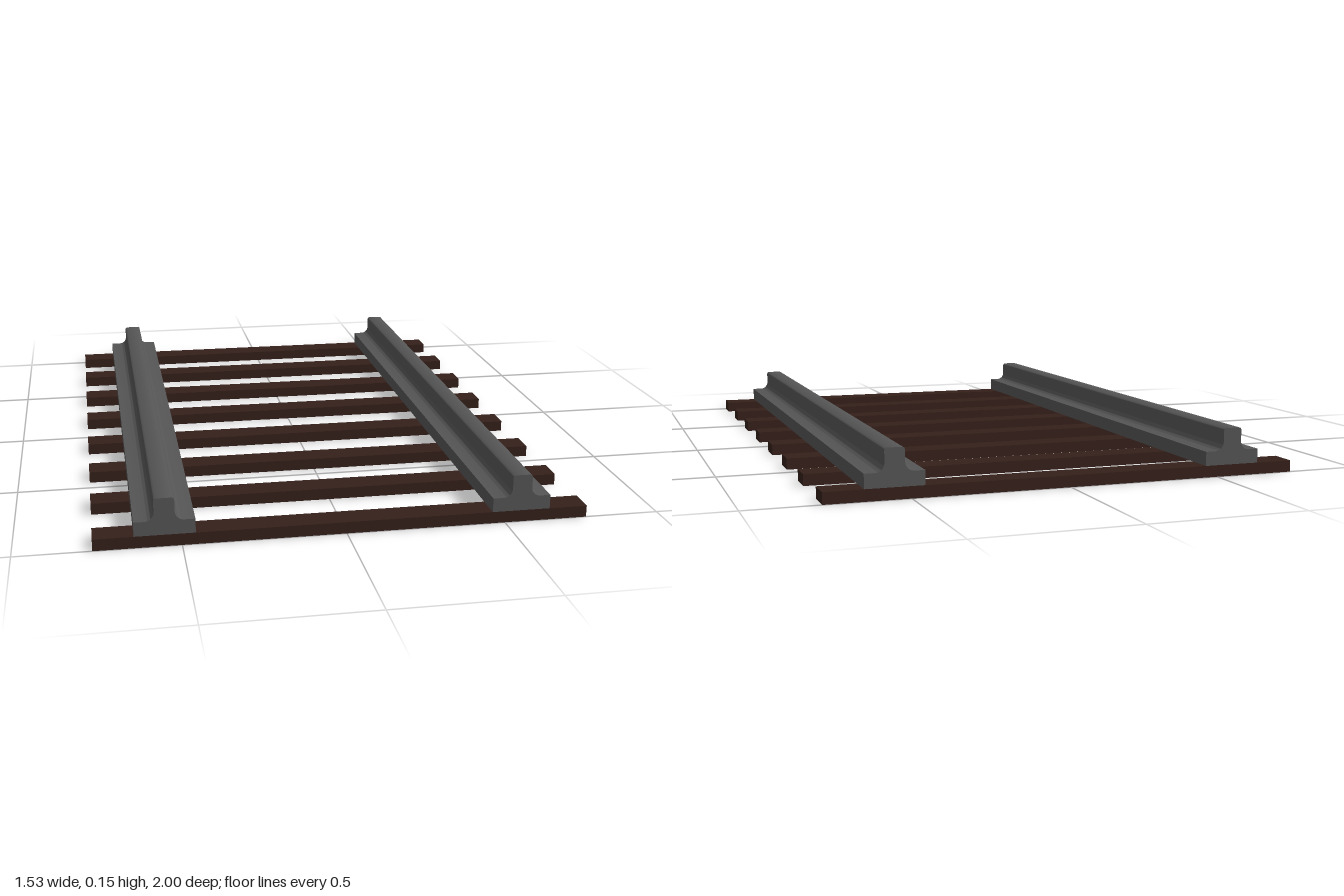
import * as THREE from 'three';
import { toCreasedNormals } from 'three/addons/utils/BufferGeometryUtils.js';

const LENGTH = 2;
const SLEEPERS = 8;
const SLEEPER = { width: 1.53, height: 0.037, depth: 0.085 };
const RAIL_X = 0.551;

// Rail cross-section: flat foot, concave fillets, head with rounded corners
function railGeometry() {
  const foot = 0.092, head = 0.031, fillet = 0.028, round = 0.009;
  const base = SLEEPER.height, footTop = 0.082, top = 0.154;
  const s = new THREE.Shape();
  s.moveTo(-foot, base);
  s.lineTo(foot, base);
  s.lineTo(foot, footTop);
  s.lineTo(head + fillet, footTop);
  s.absarc(head + fillet, footTop + fillet, fillet, -Math.PI / 2, -Math.PI, true);
  s.lineTo(head, top - round);
  s.absarc(head - round, top - round, round, 0, Math.PI / 2, false);
  s.absarc(-head + round, top - round, round, Math.PI / 2, Math.PI, false);
  s.lineTo(-head, footTop + fillet);
  s.absarc(-head - fillet, footTop + fillet, fillet, 0, -Math.PI / 2, true);
  s.lineTo(-foot, footTop);
  s.closePath();
  const geometry = new THREE.ExtrudeGeometry(s, { depth: LENGTH, bevelEnabled: false, curveSegments: 6 });
  geometry.translate(0, 0, -LENGTH / 2);
  return toCreasedNormals(geometry, Math.PI / 5);
}

export function createModel() {
  const track = new THREE.Group();
  track.name = 'railwayTrack';
  const steel = new THREE.MeshStandardMaterial({ color: 0x555555 });
  const wood = new THREE.MeshStandardMaterial({ color: 0x35201b });

  // Pair of rails
  const railGeo = railGeometry();
  for (const side of [1, -1]) {
    const rail = new THREE.Mesh(railGeo, steel);
    rail.name = side > 0 ? 'leftRail' : 'rightRail';
    rail.position.x = side * RAIL_X;
    track.add(rail);
  }

  // Evenly spaced sleepers, the outer ones flush with the rail ends
  const sleeperGeo = new THREE.BoxGeometry(SLEEPER.width, SLEEPER.height, SLEEPER.depth);
  const span = LENGTH - SLEEPER.depth;
  for (let i = 0; i < SLEEPERS; i++) {
    const sleeper = new THREE.Mesh(sleeperGeo, wood);
    sleeper.name = `sleeper${i + 1}`;
    sleeper.position.set(0, SLEEPER.height / 2, -span / 2 + (span * i) / (SLEEPERS - 1));
    track.add(sleeper);
  }
  return track;
}
